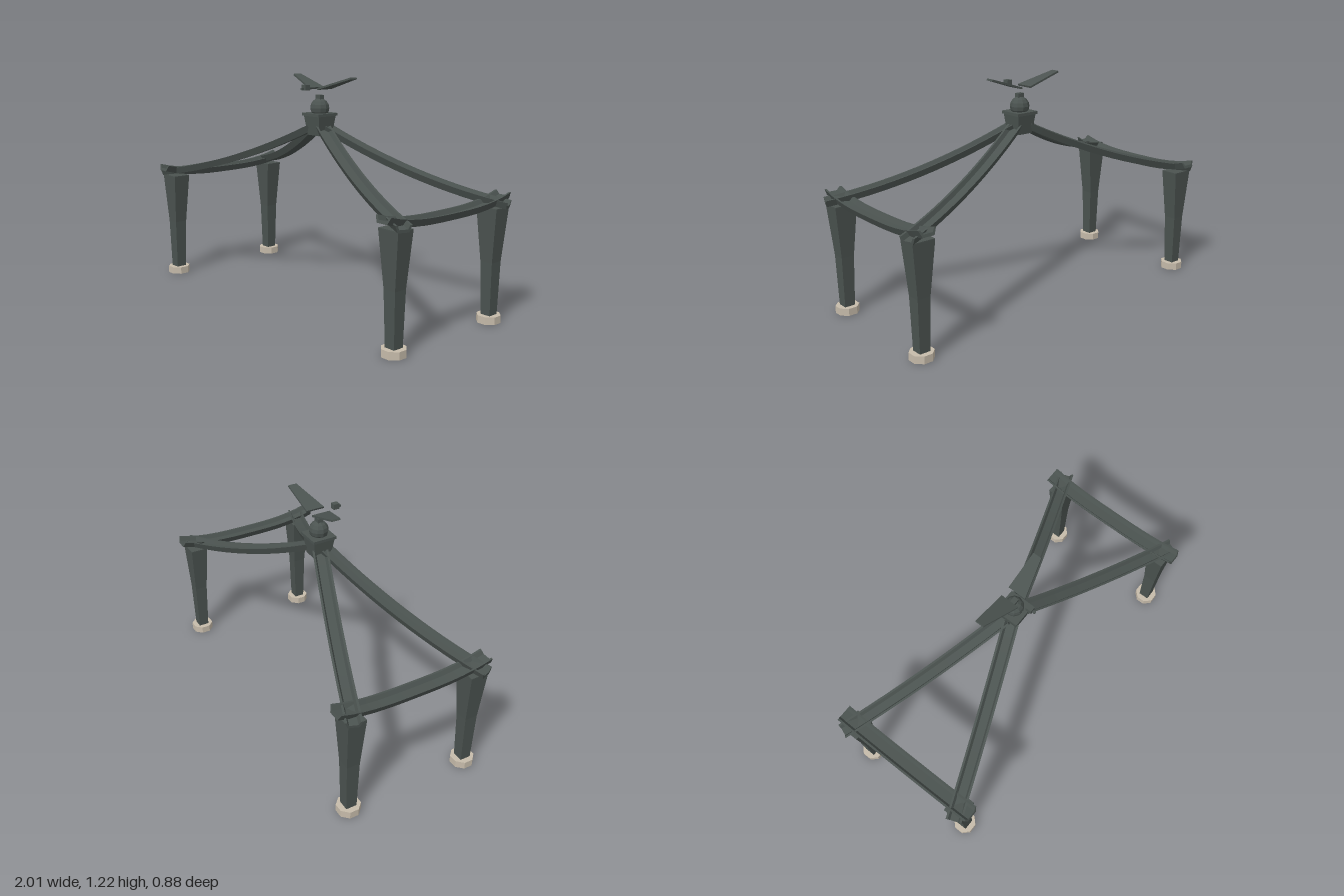
import * as THREE from 'three';

const iron = new THREE.MeshStandardMaterial({ color: 0x4b5350 });
iron.name = 'darkIron';
const stone = new THREE.MeshStandardMaterial({ color: 0xc6bbaa });
stone.name = 'paleStone';

const LEG_X = 0.91, LEG_Z = 0.35;

// Faceted mesh with hard edges
function part(name, geometry, material = iron) {
  const g = geometry.index ? geometry.toNonIndexed() : geometry;
  g.computeVertexNormals();
  const mesh = new THREE.Mesh(g, material);
  mesh.name = name;
  return mesh;
}

// Turned profile with few sides; points are [half width, y]
function turned(points, sides) {
  const k = 1 / Math.cos(Math.PI / sides);
  const profile = points.map(([w, y]) => new THREE.Vector2(w * k, y));
  return new THREE.LatheGeometry(profile, sides, Math.PI / sides);
}

// U-shaped channel running along z from s0 to s1, its underside following curve(s)
function channel(width, s0, s1, curve) {
  const w = width / 2, b = w * 0.66, h = 0.036, floor = 0.015, t = 0.011;
  const shape = new THREE.Shape([
    [-b, 0], [b, 0], [w, h], [w - t, h], [b - t * 0.6, floor],
    [-b + t * 0.6, floor], [-w + t, h], [-w, h],
  ].map(([x, y]) => new THREE.Vector2(x, y)));
  const g = new THREE.ExtrudeGeometry(shape, { depth: s1 - s0, steps: 14, bevelEnabled: false });
  const p = g.attributes.position;
  for (let i = 0; i < p.count; i++) {
    const s = p.getZ(i) + s0, v = p.getY(i);
    const slope = (curve(s + 0.001) - curve(s - 0.001)) / 0.002;
    const n = Math.hypot(1, slope);
    p.setY(i, curve(s) + v / n);
    p.setZ(i, s - (v * slope) / n);
  }
  return g;
}

function legGeometry() {
  const g = turned([[0, 0.03], [0.029, 0.03], [0.036, 0.32], [0.05, 0.6], [0.05, 0.605], [0, 0.605]], 4);
  const p = g.attributes.position;
  // Upper half flares wider in x than in z
  for (let i = 0; i < p.count; i++) {
    p.setX(i, p.getX(i) * (1 + Math.max(0, p.getY(i) - 0.32) / 0.28 * 0.24));
  }
  return g;
}

export function createModel() {
  const model = new THREE.Group();
  model.name = 'fourLeggedCanopyFrame';

  // Legs, feet and diagonal beams at the four corners
  const END = 1.053;
  const rise = (s) => {
    const t = END - s;
    return 0.6 + 0.15 * t + 0.17 * t * t;
  };
  for (const sx of [-1, 1]) {
    for (const sz of [-1, 1]) {
      const leg = part('leg', legGeometry());
      const foot = part('foot', turned(
        [[0, 0.032], [0.046, 0.032], [0.046, 0], [0.0585, 0], [0.0585, 0.04], [0, 0.04]], 8), stone);
      for (const m of [leg, foot]) {
        m.position.set(sx * LEG_X, 0, sz * LEG_Z);
        model.add(m);
      }
      const beam = part('diagonalBeam', channel(0.085, 0.04, END, rise));
      beam.rotation.y = Math.atan2(sx * LEG_X, sz * LEG_Z);
      model.add(beam);
    }

    // Sagging side beam
    const side = part('sideBeam', channel(0.097, -0.44, 0.44,
      (s) => 0.592 + 0.54 * Math.abs(s) ** 3));
    side.position.x = sx * LEG_X;
    model.add(side);

    // Tilted wing
    const outline = [[0, -0.047], [0.21, 0.008], [0.21, 0.056], [0, 0.056]]
      .map(([x, y]) => new THREE.Vector2(sx * x, y));
    const plate = new THREE.ExtrudeGeometry(new THREE.Shape(outline), { depth: 0.01, bevelEnabled: false });
    plate.rotateX(-Math.PI / 2);
    const wing = part('wing', plate);
    wing.position.set(sx * 0.03, 1.152, 0);
    wing.rotation.z = sx * 0.307;
    model.add(wing);
  }

  // Central boss with its cap
  model.add(part('boss', turned(
    [[0, 0.905], [0.047, 0.905], [0.061, 1.01], [0, 1.01]], 4)));
  model.add(part('bossCap', turned(
    [[0, 1.01], [0.068, 1.01], [0.068, 1.025], [0, 1.025]], 4)));

  // Ball and neck
  const ball = part('ball', new THREE.SphereGeometry(0.053, 10, 8));
  ball.position.y = 1.052;
  const neck = part('neck', new THREE.BoxGeometry(0.038, 0.03, 0.028));
  neck.position.y = 1.107;

  // Small floating head and beak
  const head = part('head', new THREE.BoxGeometry(0.03, 0.03, 0.034));
  head.position.set(0, 1.166, 0.099);
  const beak = part('beak', new THREE.BoxGeometry(0.012, 0.01, 0.018));
  beak.position.set(0, 1.16, 0.122);
  model.add(ball, neck, head, beak);

  return model;
}
